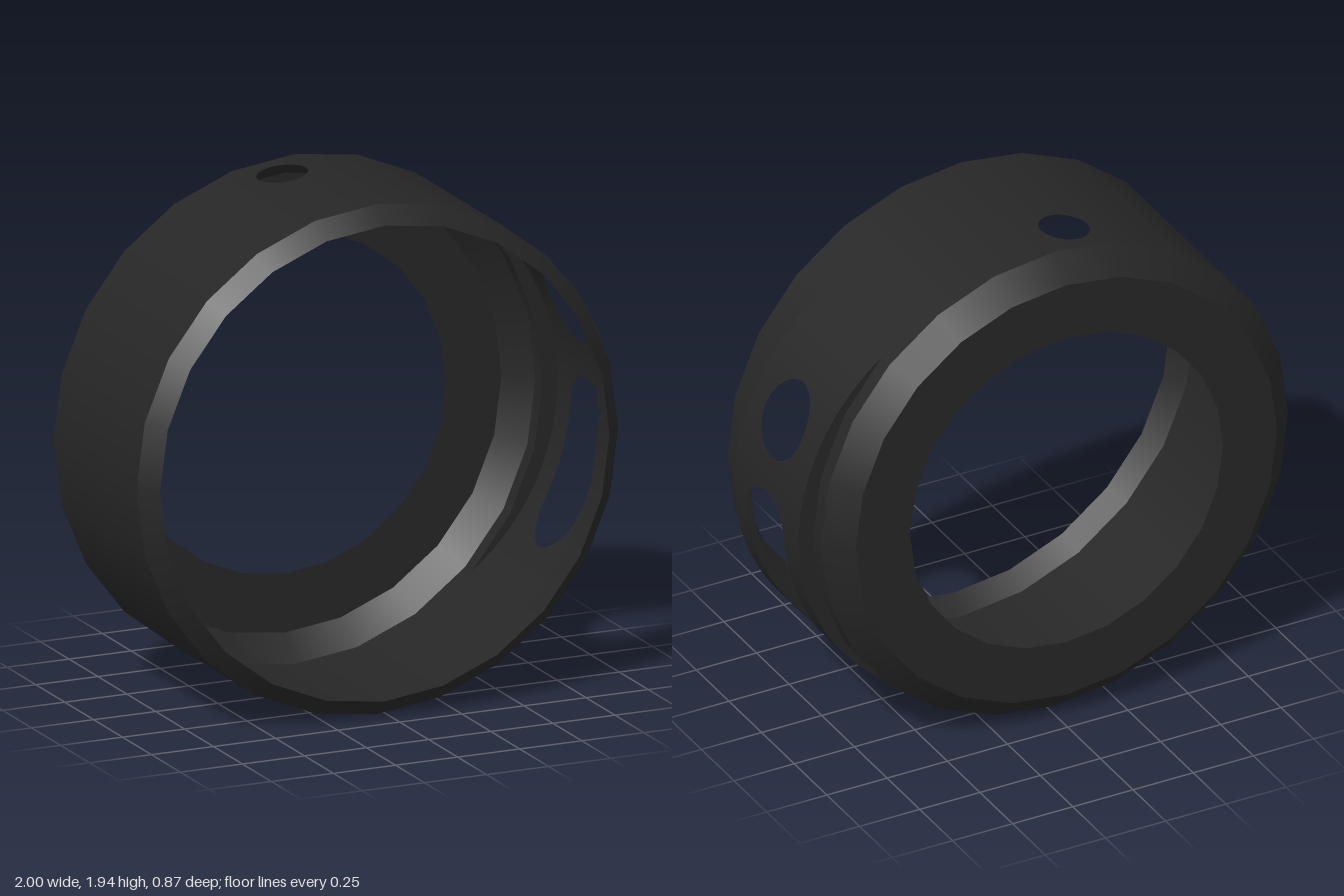
import * as THREE from 'three';

const CX = -0.03, CY = 0.97, R = 0.97;      // ring axis and radius
const SEG = Math.PI / 12;                   // 24-sided ring
const BACK = -0.345, FRONT = 0.37;          // straight part of the wall
const ZB = -0.285, ZF = 0.21;               // sides of the bulge
const material = new THREE.MeshStandardMaterial({ color: 0x262626, side: THREE.DoubleSide });

export function createModel() {
  const group = new THREE.Group();
  const add = (name, geometry, onAxis) => {
    const mesh = new THREE.Mesh(geometry, material);
    mesh.name = name;
    if (onAxis) mesh.position.set(CX, CY, 0);
    group.add(mesh);
  };

  // Sheet turned about the z axis; angle steps run from the bottom towards +x
  const turned = (name, r0, z0, r1, z1, start = 0, steps = 24) => {
    const g = new THREE.LatheGeometry(
      [new THREE.Vector2(r0, z0), new THREE.Vector2(r1, z1)], steps, start * SEG, steps * SEG);
    add(name, g.rotateX(Math.PI / 2), true);
  };

  turned('backPlate', 0.65, -0.435, 0.875, -0.435);
  turned('backChamfer', 0.875, -0.435, R, BACK);
  turned('frontChamfer', R, FRONT, 0.905, 0.435);
  turned('upperWall', R, BACK, R, FRONT, 9, 3);
  turned('mainWall', R, BACK, R, FRONT, 13, 14);
  turned('wallBehindBulge', R, BACK, R, ZB, 3, 6);
  turned('wallBeforeBulge', R, ZF, R, FRONT, 3, 6);

  // Top wall facet with a round hole
  const half = R * Math.sin(SEG / 2);
  const facet = new THREE.Shape([
    new THREE.Vector2(-half, -FRONT), new THREE.Vector2(half, -FRONT),
    new THREE.Vector2(half, -BACK), new THREE.Vector2(-half, -BACK)]);
  const hole = new THREE.Path();
  hole.absarc(0, 0.185, 0.095, 0, Math.PI * 2, true);
  facet.holes.push(hole);
  const top = new THREE.ShapeGeometry(facet, 24);
  top.rotateX(-Math.PI / 2).translate(0, R * Math.cos(SEG / 2), 0).rotateZ(SEG / 2);
  const tp = top.attributes.position;
  for (let i = 0; i < tp.count; i++) {
    const n = new THREE.Vector3(tp.getX(i), tp.getY(i), 0).normalize();
    top.attributes.normal.setXYZ(i, n.x, n.y, 0);
  }
  add('topWallWithHole', top, true);

  // Bulge outline: an arc meeting the ring at 45 degrees above and below
  const endX = CX + R * Math.SQRT1_2, endY = R * Math.SQRT1_2;
  const sag = 1 - endX;
  const bulgeR = (endY * endY + sag * sag) / (2 * sag), bulgeX = 1 - bulgeR;
  const arcX = (y) => bulgeX + Math.sqrt(bulgeR * bulgeR - (y - CY) ** 2);

  // Flat sides of the bulge
  const side = new THREE.Shape();
  const arcEnd = Math.asin(endY / bulgeR);
  side.absarc(bulgeX, CY, bulgeR, -arcEnd, arcEnd, false);
  for (let i = 2; i >= -2; i--) {
    side.lineTo(CX + R * Math.cos(i * SEG), CY + R * Math.sin(i * SEG));
  }
  for (const z of [ZB, ZF]) {
    const g = new THREE.ShapeGeometry(side, 32);
    if (z < 0) g.rotateY(Math.PI).scale(-1, 1, 1).rotateY(0);
    add(z < 0 ? 'bulgeBackSide' : 'bulgeFrontSide', g.translate(0, 0, z));
  }

  // Heights across the bulge and the half width of its openings at each
  const midZ = -0.03, hr = 0.14, rows = [];
  const span = (y0, y1, n, width) => {
    for (let i = 0; i <= n; i++) rows.push([y0 + (y1 - y0) * i / n, width]);
  };
  const round = (yc, a0, a1) => {
    for (let i = 0; i <= 12; i++) {
      const a = a0 + (a1 - a0) * i / 12;
      rows.push([yc + hr * Math.cos(a), hr * Math.sin(a)]);
    }
  };
  const roundY = 1.325, slotTop = 0.91, slotBottom = 0.57;
  span(CY + endY, roundY + hr, 8, 0);
  round(roundY, 0, Math.PI / 2);
  round(roundY, Math.PI / 2, Math.PI);
  span(roundY - hr, slotTop + hr, 5, 0);
  round(slotTop, 0, Math.PI / 2);
  span(slotTop, slotBottom, 8, hr);
  round(slotBottom, Math.PI / 2, Math.PI);
  span(slotBottom - hr, CY - endY, 6, 0);

  // Curved face of the bulge, one strip on each side of the openings
  for (const s of [1, -1]) {
    const g = new THREE.PlaneGeometry(1, 1, 1, rows.length - 1);
    const { position, normal } = g.attributes;
    rows.forEach(([y, w], i) => {
      const zs = s > 0 ? [ZF, midZ + w] : [midZ - w, ZB];
      const x = arcX(y);
      zs.forEach((z, k) => {
        position.setXYZ(i * 2 + k, x, y, z);
        normal.setXYZ(i * 2 + k, (x - bulgeX) / bulgeR, (y - CY) / bulgeR, 0);
      });
    });
    add(s > 0 ? 'bulgeFaceFront' : 'bulgeFaceBack', g);
  }
  return group;
}
